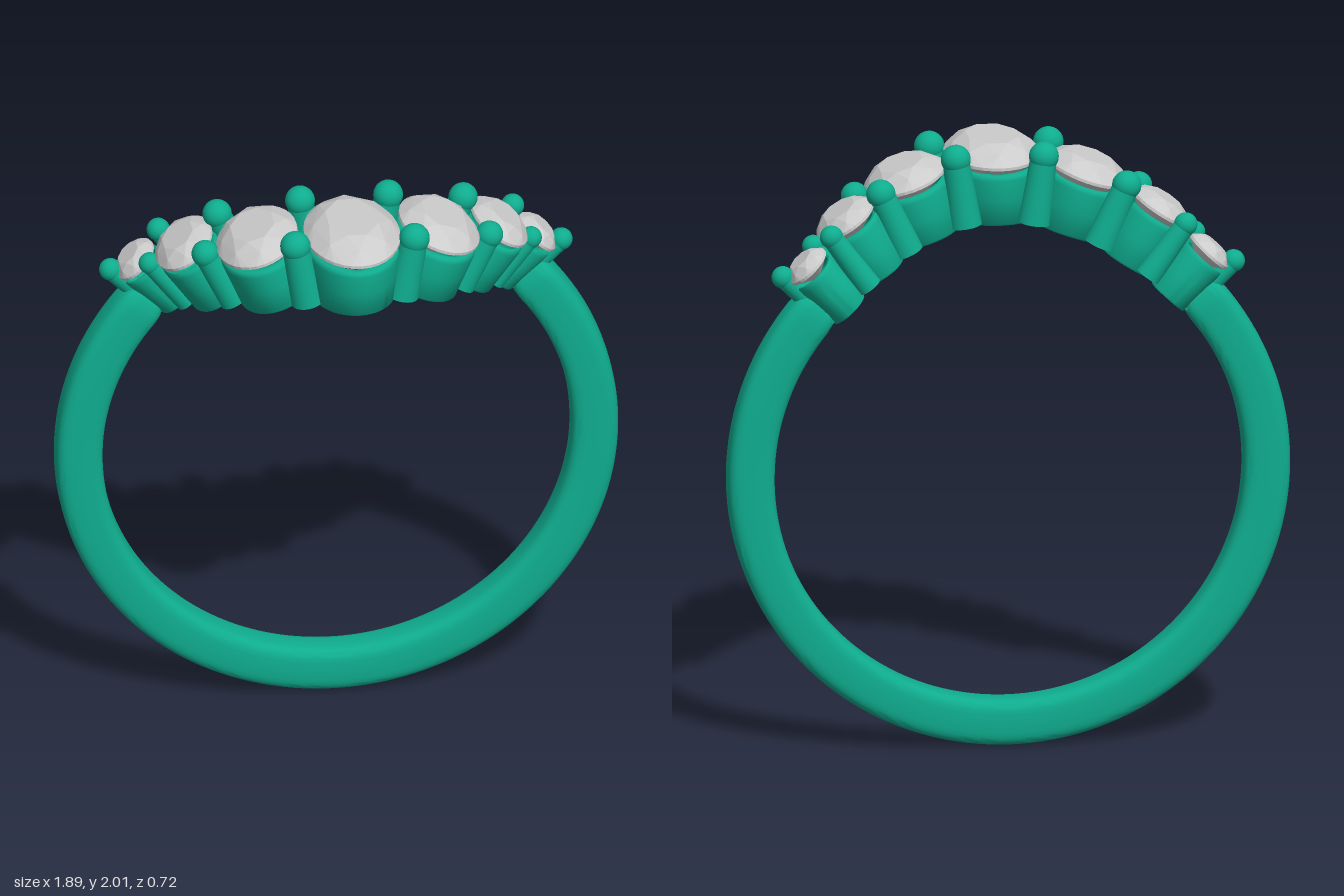
import * as THREE from 'three';
import { toCreasedNormals } from 'three/addons/utils/BufferGeometryUtils.js';
import { ConvexGeometry } from 'three/addons/geometries/ConvexGeometry.js';

const CY = 0.95;        // height of the finger-hole centre
const INNER = 0.787;    // finger-hole radius
const metal = new THREE.MeshStandardMaterial({ color: 0x0fac8e });
const gem = new THREE.MeshStandardMaterial({ color: 0xcccccc, flatShading: true });

// stones: angle from the top, z, half width, half length, girdle radius, crown height
const STONES = [
  { deg: 0, z: 0.122, a: 0.16, b: 0.237, g: 0.99, crown: 0.06 },
  { deg: 18, z: 0.025, a: 0.14, b: 0.19, g: 0.99, crown: 0.052 },
  { deg: 32, z: -0.135, a: 0.108, b: 0.145, g: 1.0, crown: 0.04 },
  { deg: 43, z: -0.268, a: 0.08, b: 0.092, g: 0.99, crown: 0.035 },
];

// prongs: bead x, y, z, radius
const PRONGS = [
  [0.148, 1.968, -0.07, 0.05], [0.2, 1.945, 0.195, 0.051],
  [0.413, 1.885, -0.165, 0.049], [0.477, 1.835, 0.01, 0.046],
  [0.595, 1.775, -0.28, 0.039], [0.64, 1.715, -0.162, 0.037],
  [0.757, 1.64, -0.27, 0.038],
];

// surface through a grid of points p(i, j), closed around j
function loft(p, ni, nj, crease) {
  const pos = [], idx = [];
  for (let i = 0; i <= ni; i++)
    for (let j = 0; j < nj; j++) pos.push(...p(i, j));
  for (let i = 0; i < ni; i++)
    for (let j = 0; j < nj; j++) {
      const k = (j + 1) % nj;
      const a = i * nj + j, b = a + nj, c = (i + 1) * nj + k, d = i * nj + k;
      idx.push(a, b, d, b, c, d);
    }
  const geo = new THREE.BufferGeometry();
  geo.setAttribute('position', new THREE.Float32BufferAttribute(pos, 3));
  geo.setIndex(idx);
  return toCreasedNormals(geo, crease);
}

function add(parent, geo, mat, name) {
  const mesh = new THREE.Mesh(geo, mat);
  mesh.name = name;
  parent.add(mesh);
  return mesh;
}

// open band with a rounded-rectangle section and rounded ends under the last settings
function bandGeometry() {
  const n = 120, end = THREE.MathUtils.degToRad(46);
  const pow = (v) => Math.sign(v) * Math.pow(Math.abs(v), 0.55);
  return loft((i, j) => {
    const e = Math.min(i, n - i);
    const s = e < 3 ? Math.max(Math.sqrt(1 - (1 - e / 3) ** 2), 0.001) : 1;
    const t = Math.PI - end + (i / n) * (Math.PI + 2 * end);
    const phi = (j / 32) * Math.PI * 2;
    const r = 0.866 + 0.079 * s * pow(Math.cos(phi));
    return [r * Math.cos(t), CY + r * Math.sin(t), -0.265 + 0.068 * s * pow(Math.sin(phi))];
  }, n, 32, 1);
}

// oval tube wall: foot cut to the finger hole, open through the middle
function basketGeometry({ a, b, g }) {
  const profile = [[0.86, 0], [0.9, 0.04], [0.95, 0.5], [0.995, 0.9], [0.985, 0.97], [0.95, 1],
    [0.86, 1], [0.8, 0.9], [0.62, 0.35], [0.56, 0.06], [0.6, 0], [0.86, 0]];
  return loft((i, j) => {
    const [s, t] = profile[i], phi = (j / 48) * Math.PI * 2;
    const x = a * s * Math.cos(phi);
    const foot = Math.sqrt(INNER * INNER - x * x);
    return [x, foot + (g - 0.025 - foot) * t, b * s * Math.sin(phi)];
  }, profile.length - 1, 48, 0.9);
}

// faceted oval stone
function stoneGeometry({ a, b, g, crown }) {
  const pts = [];
  const ring = (n, s, y, turn = 0) => {
    for (let i = 0; i < n; i++) {
      const t = ((i + turn) / n) * Math.PI * 2;
      pts.push(new THREE.Vector3(a * s * Math.cos(t), g + y, b * s * Math.sin(t)));
    }
  };
  ring(8, 0.56, crown, 0.5);
  ring(8, 0.82, crown * 0.62);
  ring(32, 1, 0.004);
  ring(32, 1, -0.006);
  ring(8, 0.62, -a * 0.32, 0.5);
  ring(1, 0, -a * 0.72);
  return new ConvexGeometry(pts);
}

// bead on a post that runs straight towards the ring's axis
function prong(x, y, z, r) {
  const group = new THREE.Group();
  const bead = add(group, new THREE.SphereGeometry(r, 24, 16), metal, 'prongBead');
  const reach = Math.hypot(x, y - CY);
  bead.position.y = reach;
  const foot = INNER + 0.012, len = reach - foot;
  const post = add(group, new THREE.CylinderGeometry(r * 0.88, r * 1.1, len, 24), metal, 'prongPost');
  post.position.y = foot + len / 2;
  group.position.set(0, CY, z);
  group.rotation.z = -Math.atan2(x, y - CY);
  group.name = 'prong';
  return group;
}

export function createModel() {
  const model = new THREE.Group();
  model.name = 'ring';
  add(model, bandGeometry(), metal, 'band');

  // settings, mirrored left and right
  for (const s of STONES) {
    const basket = basketGeometry(s), stone = stoneGeometry(s);
    for (const side of s.deg ? [1, -1] : [1]) {
      const setting = new THREE.Group();
      setting.name = 'setting';
      add(setting, basket, metal, 'basket');
      add(setting, stone, gem, 'stone');
      setting.position.set(0, CY, s.z);
      setting.rotation.z = -side * THREE.MathUtils.degToRad(s.deg);
      model.add(setting);
    }
  }

  for (const [x, y, z, r] of PRONGS)
    for (const side of [1, -1]) model.add(prong(side * x, y, z, r));

  return model;
}
